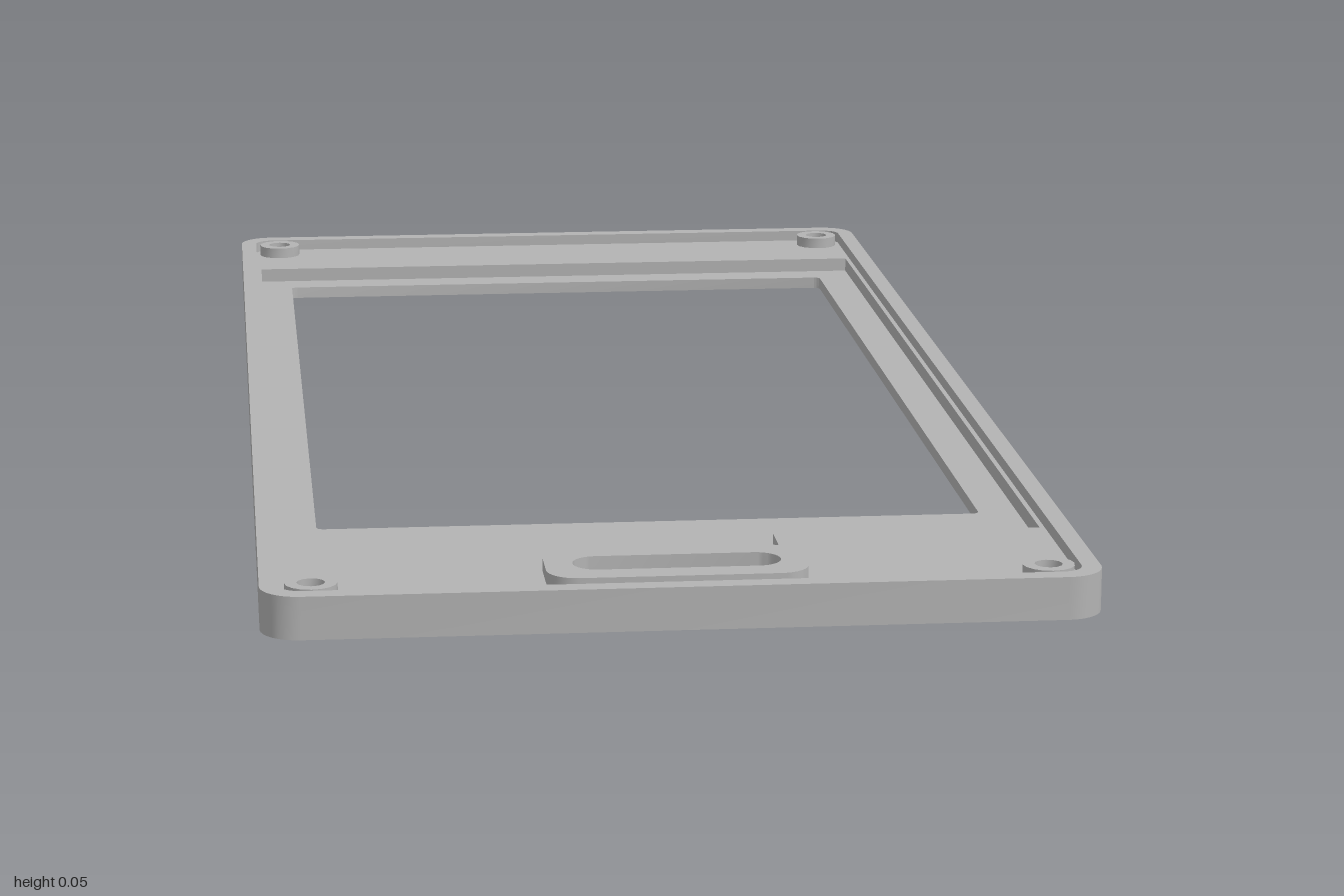
import * as THREE from 'three';
import { toCreasedNormals } from 'three/addons/utils/BufferGeometryUtils.js';

// Heights of the recess floor, the inner deck and the top edge
const FLOOR = 0.016, DECK = 0.035, TOP = 0.05;

// Outlines are counter-clockwise point loops in plan (x, -z)
function roundedRect(x0, x1, z0, z1, r, steps = 8) {
  const corners = [[x1 - r, -z0 - r, 0], [x0 + r, -z0 - r, 1], [x0 + r, -z1 + r, 2], [x1 - r, -z1 + r, 3]];
  const points = [];
  for (const [cx, cy, quarter] of corners) {
    for (let i = 0; i <= steps; i++) {
      const a = (quarter + i / steps) * Math.PI / 2;
      points.push(new THREE.Vector2(cx + r * Math.cos(a), cy + r * Math.sin(a)));
    }
  }
  return points;
}

function circle(x, z, r, sides) {
  return Array.from({ length: sides }, (_, i) => {
    const a = i / sides * Math.PI * 2;
    return new THREE.Vector2(x + r * Math.cos(a), -z + r * Math.sin(a));
  });
}

// Flat face with holes at height y
function cap(outline, holes, y, down = false) {
  const shape = new THREE.Shape(outline);
  shape.holes = holes.map(h => new THREE.Path(h));
  const geo = new THREE.ShapeGeometry(shape);
  if (down) {
    geo.index.array.reverse();
    geo.computeVertexNormals();
  }
  return geo.rotateX(-Math.PI / 2).translate(0, y, 0);
}

// Upright wall along a closed outline, facing outward or inward
function wall(outline, y0, y1, inward = false) {
  const loop = inward ? [...outline].reverse() : outline;
  const pos = [];
  loop.forEach((a, i) => {
    const b = loop[(i + 1) % loop.length];
    if (a.distanceTo(b) < 1e-6) return;
    pos.push(a.x, y0, -a.y, b.x, y0, -b.y, b.x, y1, -b.y);
    pos.push(a.x, y0, -a.y, b.x, y1, -b.y, a.x, y1, -a.y);
  });
  const geo = new THREE.BufferGeometry();
  geo.setAttribute('position', new THREE.Float32BufferAttribute(pos, 3));
  return toCreasedNormals(geo, 0.6);
}

export function createModel() {
  const model = new THREE.Group();
  model.name = 'facePlate';
  const grey = new THREE.MeshStandardMaterial({ color: 0xb3b3b3 });
  grey.name = 'grey plastic';
  const add = (name, geo, parent = model) => {
    const mesh = new THREE.Mesh(geo, grey);
    mesh.name = name;
    parent.add(mesh);
  };

  const outer = roundedRect(-0.475, 0.475, -1, 1, 0.045);
  const rim = roundedRect(-0.453, 0.453, -0.977, 0.977, 0.025);
  const opening = roundedRect(-0.402, 0.4, -0.785, 0.597, 0.008, 3);
  const slot = roundedRect(-0.12, 0.118, 0.865, 0.921, 0.0279);
  const collar = roundedRect(-0.152, 0.146, 0.835, 0.954, 0.035);
  // Screen recess with the connector notch at the front
  const recess = [[-0.447, -0.735], [-0.135, -0.735], [-0.135, -0.815], [0.13, -0.815],
    [0.13, -0.735], [0.447, -0.735], [0.447, 0.832], [-0.447, 0.832]]
    .map(([x, y]) => new THREE.Vector2(x, y));

  // Shell
  add('underside', cap(outer, [opening, slot], 0, true));
  add('outerWall', wall(outer, 0, TOP));
  add('rimTop', cap(outer, [rim], TOP));
  add('rimInnerWall', wall(rim, DECK, TOP, true));
  add('deck', cap(rim, [recess, slot], DECK));

  // Screen recess and opening
  add('recessWall', wall(recess, FLOOR, DECK, true));
  add('recessFloor', cap(recess, [opening], FLOOR));
  add('openingWall', wall(opening, 0, FLOOR, true));

  // Raised collar around the button slot
  const button = new THREE.Group();
  button.name = 'buttonSlot';
  add('collarWall', wall(collar, DECK, TOP), button);
  add('collarTop', cap(collar, [slot], TOP), button);
  add('slotWall', wall(slot, 0, TOP, true), button);
  model.add(button);

  // Screw bosses in the corners
  for (const x of [-0.417, 0.417]) {
    for (const z of [-0.943, 0.943]) {
      const boss = new THREE.Group();
      boss.name = 'screwBoss';
      const ring = circle(x, z, 0.03, 16), hole = circle(x, z, 0.016, 12);
      add('bossWall', wall(ring, DECK, TOP), boss);
      add('bossTop', cap(ring, [hole], TOP), boss);
      add('bossHole', wall(hole, DECK, TOP, true), boss);
      model.add(boss);
    }
  }
  return model;
}
